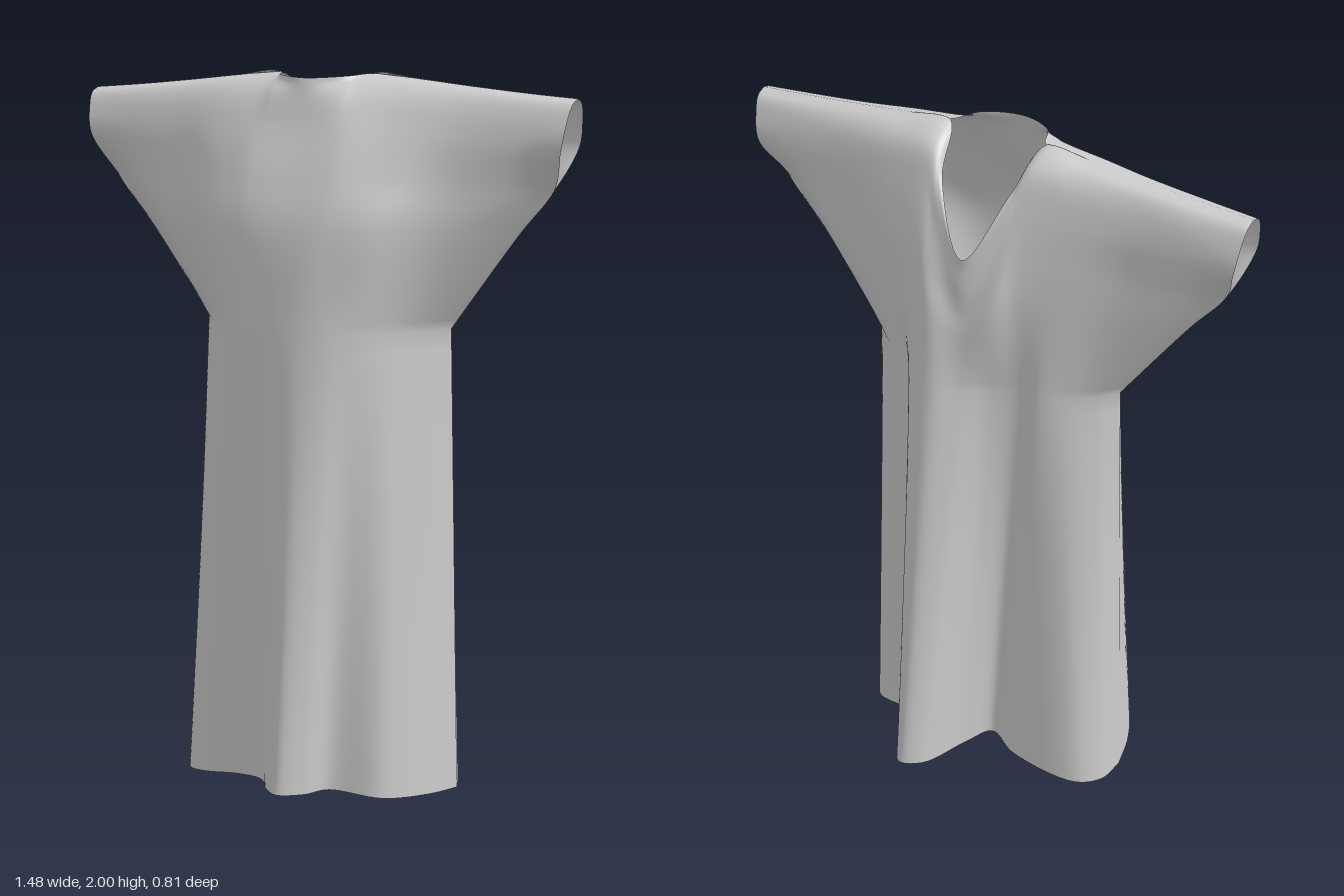
import * as THREE from 'three';
import { mergeGeometries, mergeVertices } from 'three/addons/utils/BufferGeometryUtils.js';

// Column positions from side to side: at the body and along the shoulder line
const bodyX = [-.38, -.34, -.27, -.2, -.14, -.07, 0, .07, .14, .2, .27, .34, .38];
const shoulderX = [-.74, -.61, -.43, -.28, -.145, -.1, 0, .1, .145, .28, .43, .61, .74];

// Level heights above the underarm, and how far each has spread into the sleeves
const UNDERARM = 1.31, TOP = 2;
const levels = [1.31, 1.6, 1.73, 1.86, 1.95, 1.985, 2];
const spread = [0, .55, .82, .95, .985, .997, 1];

// Depth of the side and shoulder seams where the panels meet
const SEAM = -.01;

// Front panel: hem line, depth at each level, height of the upper edge
const front = {
  hemX: [-.412, -.385, -.33, -.25, -.15, -.06, 0, .05, .11, .15, .29, .37, .408],
  hemZ: [-.01, .1, .205, .25, .262, .29, .37, .405, .36, .28, .24, .11, -.01],
  depth: [
    [-.01, .06, .155, .235, .275, .29, .3, .3, .28, .24, .16, .06, -.01],
    [-.01, .075, .145, .232, .26, .268, .272, .27, .26, .225, .14, .072, -.01],
    [-.01, .065, .115, .185, .222, .227, .228, .227, .22, .175, .11, .065, -.01],
    [.06, .07, .09, .13, .16, .168, .17, .168, .16, .125, .09, .07, .06],
    [.045, .05, .06, .08, .1, .122, .138, .122, .1, .08, .06, .05, .045],
    [.024, .028, .032, .042, .05, .085, .126, .085, .05, .042, .032, .028, .024],
    [-.01, -.01, -.01, -.01, -.01, .075, .12, .075, -.01, -.01, -.01, -.01, -.01],
  ],
  top: [1.945, 1.955, 1.972, 1.988, 2, 1.995, 1.99, 1.995, 2, 1.988, 1.972, 1.955, 1.945],
};

// Back panel: deep hanging fold left of centre, V neckline
const back = {
  hemX: [-.412, -.4, -.34, -.14, -.04, 0, .045, .1, .138, .13, .23, .365, .408],
  hemZ: [-.01, -.1, -.164, -.166, -.115, -.2, -.375, -.41, -.365, -.2, -.14, -.1, -.01],
  depth: [
    [-.01, -.06, -.115, -.145, -.14, -.17, -.22, -.26, -.245, -.16, -.125, -.06, -.01],
    [-.01, -.07, -.1, -.135, -.165, -.2, -.22, -.235, -.21, -.16, -.11, -.075, -.01],
    [-.01, -.068, -.09, -.125, -.155, -.185, -.212, -.21, -.19, -.15, -.1, -.072, -.01],
    [-.075, -.08, -.088, -.11, -.13, -.16, -.21, -.18, -.15, -.12, -.095, -.083, -.075],
    [-.06, -.065, -.07, -.085, -.1, -.145, -.205, -.16, -.11, -.09, -.075, -.065, -.06],
    [-.042, -.044, -.048, -.055, -.06, -.135, -.205, -.145, -.06, -.055, -.048, -.044, -.042],
    [-.01, -.01, -.01, -.01, -.01, -.13, -.205, -.13, -.01, -.01, -.01, -.01, -.01],
  ],
  top: [1.945, 1.955, 1.972, 1.988, 2, 1.89, 1.71, 1.89, 2, 1.988, 1.972, 1.955, 1.945],
};

const COLS = 96, SKIRT_ROWS = 24, UPPER_ROWS = 60;

// Smooth curve through a list of control points
const smooth = points => new THREE.CatmullRomCurve3(points, false, 'centripetal');

// Hem rises towards the middle and again at the tip of the back fold
const hemY = (x, z) => .05 - .045 * (x / .41) ** 2 + .17 * Math.max(0, -z - .17);

function panelGeometry({ hemX, hemZ, depth, top }, outward) {
  const hem = smooth(hemX.map((x, i) => new THREE.Vector3(x, hemY(x, hemZ[i]), hemZ[i])));
  const rows = levels.map((level, r) => smooth(depth[r].map((z, i) => new THREE.Vector3(
    THREE.MathUtils.lerp(bodyX[i], shoulderX[i], spread[r]),
    UNDERARM + (level - UNDERARM) / (TOP - UNDERARM) * (top[i] - UNDERARM),
    z))));

  // Every column hangs straight below the underarm and curves to the shoulder above it
  const points = [];
  for (let c = 0; c <= COLS; c++) {
    const low = hem.getPoint(c / COLS);
    const upper = smooth(rows.map(row => row.getPoint(c / COLS))).getPoints(UPPER_ROWS);
    for (let r = 0; r < SKIRT_ROWS; r++) points.push(low.clone().lerp(upper[0], r / SKIRT_ROWS));
    points.push(...upper);
  }
  // Neither panel passes through the seam
  for (const p of points) p.z = outward * Math.max(outward * p.z, outward * SEAM);

  const n = SKIRT_ROWS + UPPER_ROWS + 1, index = [];
  for (let c = 0; c < COLS; c++) {
    for (let r = 0; r < n - 1; r++) {
      const a = c * n + r, b = a + n;
      if (outward > 0) index.push(a, b, b + 1, a, b + 1, a + 1);
      else index.push(a, b + 1, b, a, a + 1, b + 1);
    }
  }
  return new THREE.BufferGeometry().setFromPoints(points).setIndex(index);
}

export function createModel() {
  // Both panels are sewn along the sides and shoulders so the cloth shades smoothly
  const cloth = mergeVertices(mergeGeometries([panelGeometry(front, 1), panelGeometry(back, -1)]));
  cloth.computeVertexNormals();
  const tunic = new THREE.Mesh(cloth,
    new THREE.MeshStandardMaterial({ color: 0xcccccc, side: THREE.DoubleSide }));
  tunic.name = 'tunicCloth';
  const group = new THREE.Group();
  group.name = 'drapedTunic';
  group.add(tunic);
  return group;
}
